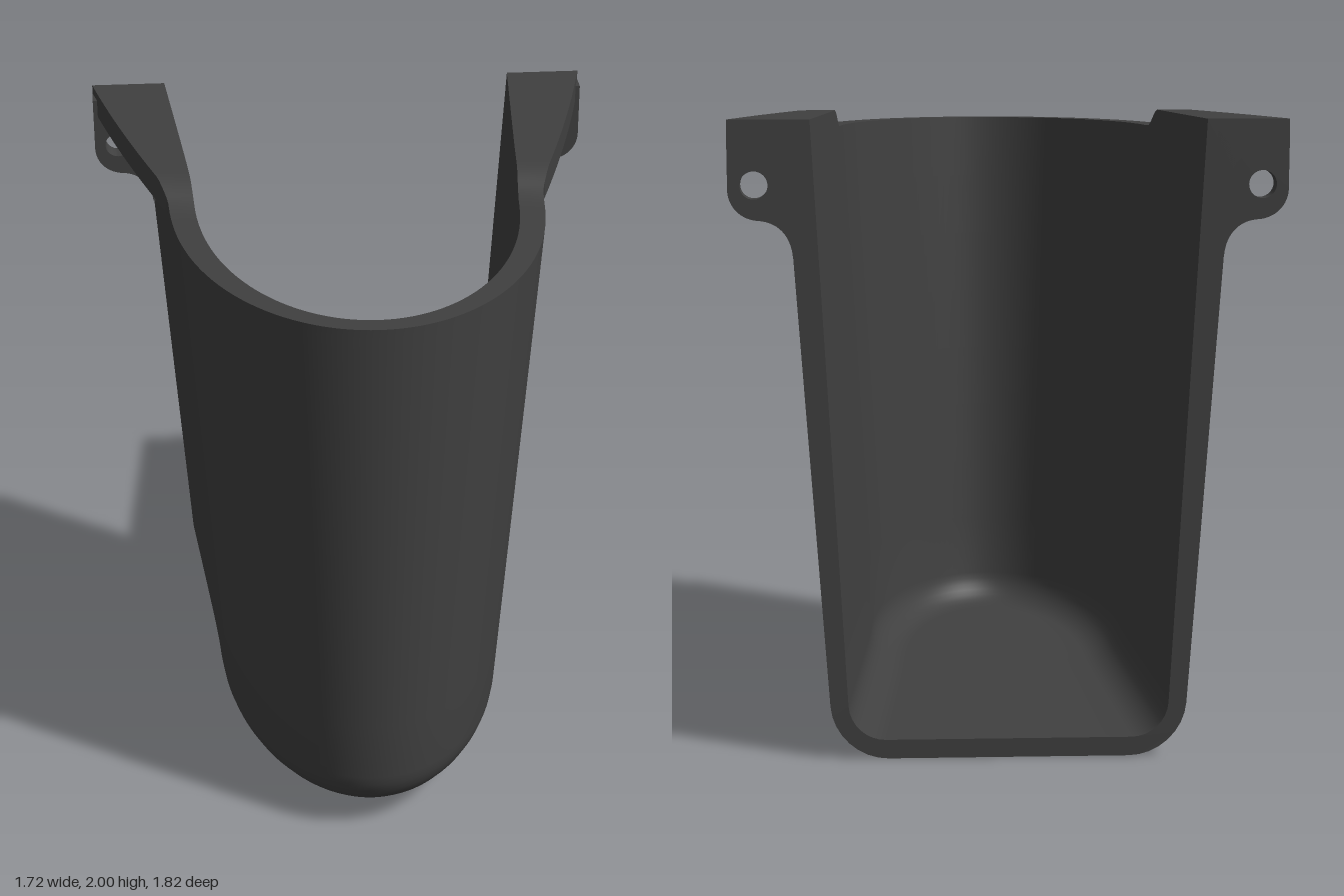
import * as THREE from 'three';
import { toCreasedNormals } from 'three/addons/utils/BufferGeometryUtils.js';

const BACK = -0.91, FLANGE_Y = 1.91, CORNER = 0.17, INNER_CORNER = 0.11, FLOOR = 0.06;

// Drafted outlines: half width and front depth at a given height
const outer = y => ({ w: 0.605 - 0.072 * (1.94 - y), zf: 0.91 - 0.038 * (1.94 - y) });
const inner = y => ({ w: 0.522 - 0.057 * (1.94 - y), zf: 0.845 - 0.038 * (1.94 - y) });
const flare = z => 0.045 * (Math.sqrt(z * z + 0.02) - z);
const floorY = z => 0.04 * (z - BACK);
const rimY = z => 2 - 0.06 * THREE.MathUtils.smoothstep(z, -0.12, 0.06);

// Stations run along the U plan: left side, rounded front, right side
function makeStations() {
  const list = [], n = 40, m = 64;
  for (let i = 0; i < n; i++) list.push({ side: 1, z: BACK * (1 - i / n) });
  for (let i = 0; i <= m; i++) list.push({ side: i <= m / 2 ? 1 : -1, angle: Math.PI * i / m });
  for (let i = n - 1; i >= 0; i--) list.push({ side: -1, z: BACK * (1 - i / n) });
  return list;
}

function planPoint(st, { w, zf }, y, inset = 0, out = 0) {
  const straight = st.angle === undefined;
  const z = straight ? st.z : (zf - inset) * Math.sin(st.angle);
  const c = straight ? st.side : Math.cos(st.angle);
  return new THREE.Vector3(c * (w - inset + flare(z)) + st.side * out, y, z);
}

// Full wall section: outer floor, corner, wall, flange, rim, inner wall, inner floor
function section(st) {
  const pts = [];
  const z = planPoint(st, outer(0.2), 0).z;
  const f0 = floorY(z), top = rimY(z);
  const corner = (line, base, r, k) => {
    const a = k / 8 * Math.PI / 2, y = base + r * (1 - Math.cos(a));
    return planPoint(st, line(y), y, r * (1 - Math.sin(a)));
  };
  const floorRow = (edge, s) => new THREE.Vector3(edge.x * s, edge.y, edge.z);

  const edge = corner(outer, f0, CORNER, 0);
  for (let k = 0; k < 4; k++) pts.push(floorRow(edge, k / 4));
  for (let k = 0; k <= 8; k++) pts.push(corner(outer, f0, CORNER, k));

  // Flange reach beyond the wall, with a concave fillet below it
  const wall = outer(FLANGE_Y).w + flare(z);
  const reach = z < 0 ? Math.max(0, 0.61 - 0.33 * z - 0.06 * z * z - wall) : 0;
  const r = Math.min(0.1, reach);
  const y0 = f0 + CORNER, y1 = FLANGE_Y - r;
  for (let k = 1; k < 8; k++) {
    const y = y0 + (y1 - y0) * k / 8;
    pts.push(planPoint(st, outer(y), y));
  }
  for (let k = 0; k <= 8; k++) {
    const a = k / 8 * Math.PI / 2, y = y1 + r * Math.sin(a);
    pts.push(planPoint(st, outer(y), y, 0, r * (1 - Math.cos(a))));
  }
  pts.push(planPoint(st, outer(FLANGE_Y), FLANGE_Y, 0, reach));
  pts.push(planPoint(st, outer(reach > 0 ? FLANGE_Y : top), top, 0, reach));

  const f1 = f0 + FLOOR, y2 = f1 + INNER_CORNER;
  for (let k = 0; k < 8; k++) {
    const y = top + (y2 - top) * k / 8;
    pts.push(planPoint(st, inner(y), y));
  }
  for (let k = 8; k >= 0; k--) pts.push(corner(inner, f1, INNER_CORNER, k));
  const innerEdge = pts[pts.length - 1];
  for (let k = 3; k >= 0; k--) pts.push(floorRow(innerEdge, k / 4));
  return pts;
}

// Skin a grid of sections, skipping collapsed triangles
function skin(rows) {
  const pos = [];
  const tri = (a, b, c) => {
    const area = b.clone().sub(a).cross(c.clone().sub(a)).length();
    if (area > 1e-9) pos.push(...a.toArray(), ...b.toArray(), ...c.toArray());
  };
  for (let i = 0; i < rows.length - 1; i++) {
    for (let j = 0; j < rows[i].length - 1; j++) {
      const a = rows[i][j], b = rows[i][j + 1], c = rows[i + 1][j + 1], d = rows[i + 1][j];
      tri(a, b, d);
      tri(b, c, d);
    }
  }
  const geo = new THREE.BufferGeometry();
  geo.setAttribute('position', new THREE.Float32BufferAttribute(pos, 3));
  return toCreasedNormals(geo, 0.6);
}

// Screw tab with a hole, hanging below the back end of a flange
function tabGeometry(s) {
  const shape = new THREE.Shape();
  shape.moveTo(s * 0.64, 1.97);
  shape.lineTo(s * 0.86, 1.97);
  shape.lineTo(s * 0.86, 1.79);
  shape.bezierCurveTo(s * 0.86, 1.735, s * 0.82, 1.695, s * 0.765, 1.692);
  shape.bezierCurveTo(s * 0.71, 1.688, s * 0.668, 1.65, s * 0.662, 1.58);
  shape.lineTo(s * 0.63, 1.58);
  const hole = new THREE.Path();
  hole.absarc(s * 0.78, 1.8, 0.043, 0, Math.PI * 2);
  shape.holes.push(hole);
  const geo = new THREE.ExtrudeGeometry(shape, { depth: 0.07, bevelEnabled: false, curveSegments: 16 });
  geo.translate(0, 0, BACK);
  return toCreasedNormals(geo, 0.6);
}

export function createModel() {
  const group = new THREE.Group();
  const charcoal = new THREE.MeshStandardMaterial({ color: 0x404040 });
  charcoal.name = 'charcoal plastic';
  const add = (name, geo) => {
    const mesh = new THREE.Mesh(geo, charcoal);
    mesh.name = name;
    group.add(mesh);
  };

  const rows = makeStations().map(section);
  add('shell', skin(rows));

  // Flat back edges; turning each half about y puts it on the other side
  for (const [name, row] of [['rightBackEdge', rows[0]], ['leftBackEdge', rows[rows.length - 1]]]) {
    const geo = new THREE.ShapeGeometry(new THREE.Shape(row.map(p => new THREE.Vector2(p.x, p.y))));
    geo.rotateY(Math.PI);
    geo.translate(0, 0, BACK);
    add(name, geo);
  }

  add('leftScrewTab', tabGeometry(1));
  add('rightScrewTab', tabGeometry(-1));
  return group;
}
